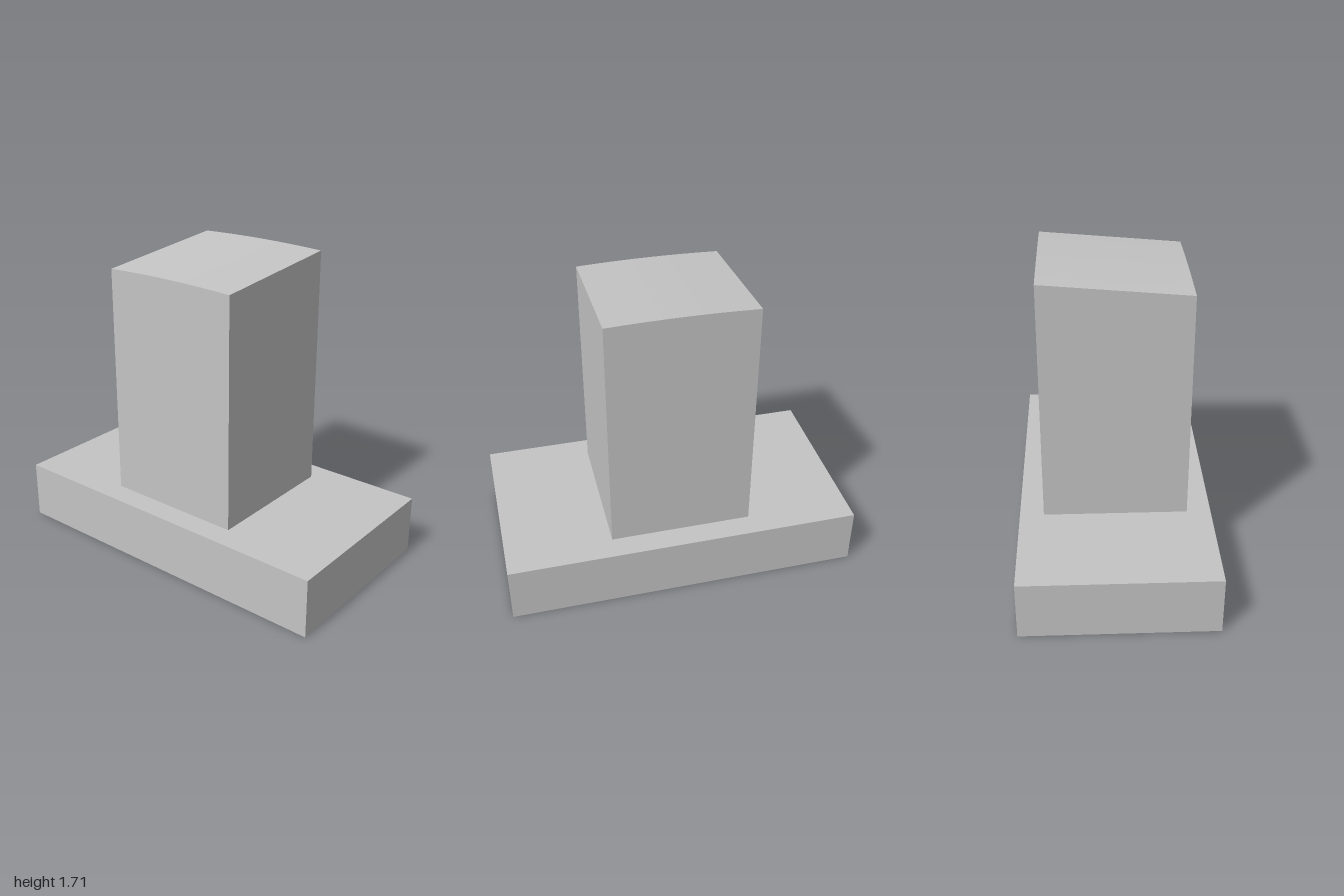
import * as THREE from 'three';
import { mergeGeometries } from 'three/addons/utils/BufferGeometryUtils.js';

const BASE_W = 2, BASE_D = 1.067, BASE_H = 0.333;
const HOLE_R = 0.207, HOLE_DEPTH = 0.2, HOLE_X = 0.533;
const HALF = 0.4; // half width of the post

// Solid slab whose underside is pierced by two round openings
function baseGeometry() {
  const box = new THREE.BoxGeometry(BASE_W, BASE_H, BASE_D).translate(0, BASE_H / 2, 0);
  // drop the plain bottom face (fourth of the six)
  const index = Array.from(box.index.array);
  index.splice(18, 6);
  box.setIndex(index);

  const w = BASE_W / 2, d = BASE_D / 2;
  const outline = new THREE.Shape([
    new THREE.Vector2(-w, -d), new THREE.Vector2(w, -d),
    new THREE.Vector2(w, d), new THREE.Vector2(-w, d),
  ]);
  for (const side of [-1, 1]) {
    outline.holes.push(new THREE.Path().absarc(side * HOLE_X, 0, HOLE_R, 0, Math.PI * 2, true));
  }
  const bottom = new THREE.ShapeGeometry(outline, 24).rotateX(Math.PI / 2);
  return mergeGeometries([box, bottom]);
}

// Blind hole: inward-facing wall and a flat ceiling
function holeGeometry() {
  const wall = new THREE.LatheGeometry(
    [new THREE.Vector2(HOLE_R, HOLE_DEPTH), new THREE.Vector2(HOLE_R, 0)], 48);
  const ceiling = new THREE.CircleGeometry(HOLE_R, 48)
    .rotateX(Math.PI / 2).translate(0, HOLE_DEPTH, 0);
  return mergeGeometries([wall, ceiling]);
}

// Square post with a slightly crowned top that rises towards the back
function postGeometry() {
  const edgeY = 1.67, crown = 0.009, steps = 8;
  const shape = new THREE.Shape();
  shape.moveTo(-HALF, BASE_H);
  shape.lineTo(HALF, BASE_H);
  for (let i = 0; i <= steps; i++) {
    const t = 1 - (2 * i) / steps;
    shape.lineTo(t * HALF, edgeY + crown * (1 - t * t));
  }
  const geo = new THREE.ExtrudeGeometry(shape, { depth: 2 * HALF, bevelEnabled: false });
  geo.translate(0, 0, -HALF);
  const p = geo.attributes.position;
  for (let i = 0; i < p.count; i++) {
    if (p.getY(i) > 1) p.setY(i, p.getY(i) - p.getZ(i) * Math.tan(Math.PI / 36));
  }
  geo.computeVertexNormals();
  return geo;
}

export function createModel() {
  const grey = new THREE.MeshStandardMaterial({ color: 0xc4c4c4 });
  grey.name = 'grey';
  const group = new THREE.Group();
  const add = (name, geometry, x = 0) => {
    const mesh = new THREE.Mesh(geometry, grey);
    mesh.name = name;
    mesh.position.x = x;
    group.add(mesh);
  };

  add('base', baseGeometry());
  add('post', postGeometry());
  const hole = holeGeometry();
  add('leftHole', hole, HOLE_X);
  add('rightHole', hole, -HOLE_X);
  return group;
}
